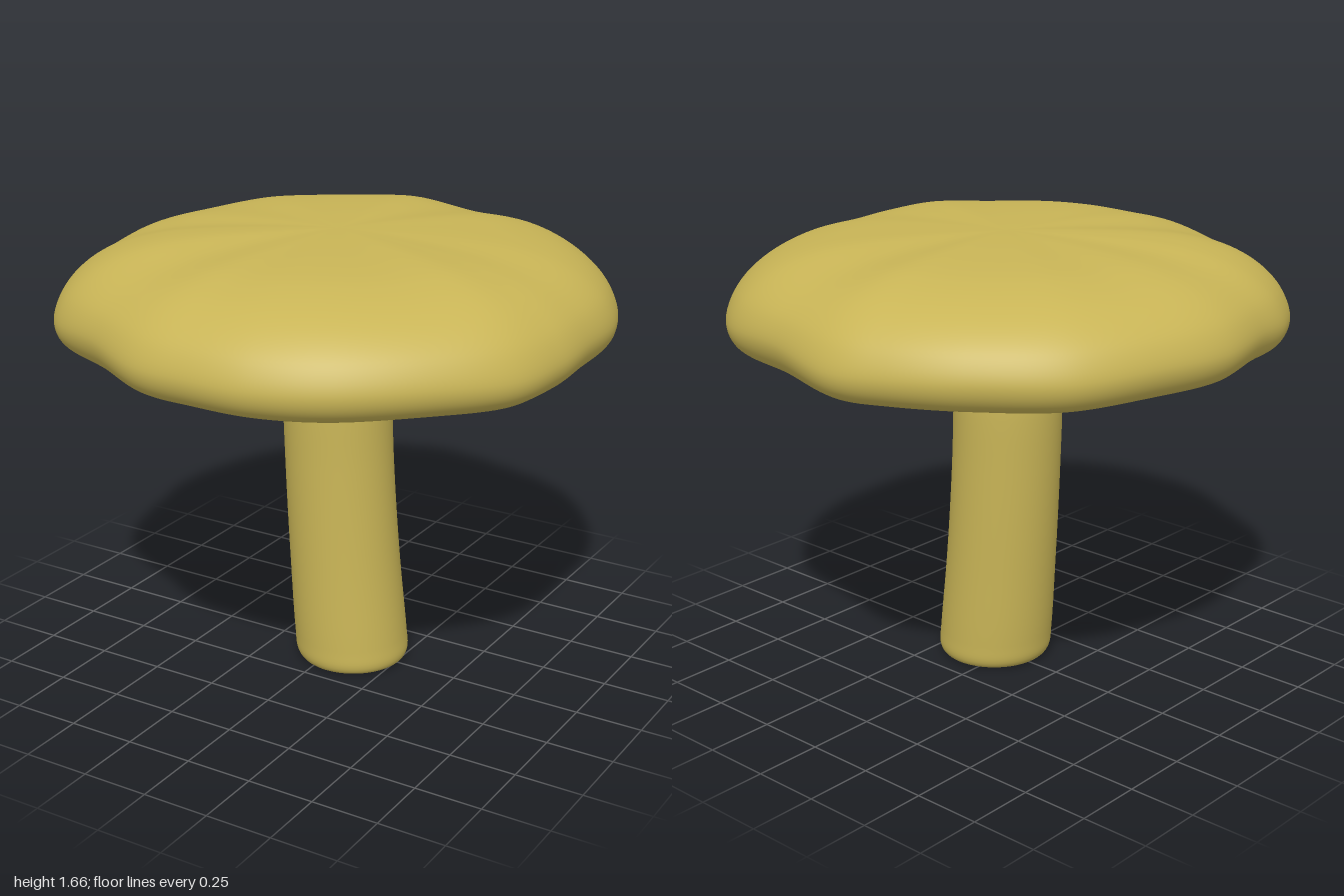
import * as THREE from 'three';

const SEG = 288;   // divisions around the axis
const GILLS = 48;

// Wavy cap outline as [x, z], going round from +x towards +z
const OUTLINE = [
  [0.98, 0], [0.98, 0.2], [0.93, 0.42], [0.75, 0.66], [0.5, 0.87], [0.25, 0.97],
  [0, 0.99], [-0.2, 0.97], [-0.45, 0.85], [-0.74, 0.69], [-0.88, 0.48], [-0.93, 0.27],
  [-0.98, 0], [-0.94, -0.25], [-0.8, -0.59], [-0.55, -0.82], [-0.3, -0.95], [-0.1, -1.0],
  [0.2, -0.94], [0.55, -0.84], [0.8, -0.6], [0.95, -0.3],
];

// Smooth curve through [radius, height] points
function smoothProfile(points, divisions) {
  const curve = new THREE.CatmullRomCurve3(points.map(([r, y]) => new THREE.Vector3(r, y, 0)));
  return curve.getPoints(divisions);
}

// Outline sampled as angle and radius
function sampleOutline() {
  const curve = new THREE.CatmullRomCurve3(
    OUTLINE.map(([x, z]) => new THREE.Vector3(x, 0, z)), true);
  return curve.getSpacedPoints(SEG).slice(0, SEG)
    .map((p) => ({ angle: Math.atan2(p.z, p.x), radius: Math.hypot(p.x, p.z) }));
}

// Closed rings joined from the bottom of the profile to its end
function loft(profile, spokes, place) {
  const positions = [];
  const indices = [];
  profile.forEach((p, j) => spokes.forEach((spoke, i) => {
    positions.push(...place(p, spoke, j / (profile.length - 1)));
    if (j === profile.length - 1) return;
    const next = (i + 1) % SEG;
    const a = j * SEG + i, b = j * SEG + next;
    const c = a + SEG, d = b + SEG;
    indices.push(a, c, b, b, c, d);
  }));
  const geometry = new THREE.BufferGeometry();
  geometry.setAttribute('position', new THREE.Float32BufferAttribute(positions, 3));
  geometry.setIndex(indices);
  geometry.computeVertexNormals();
  return geometry;
}

export function createModel() {
  const group = new THREE.Group();
  const mustard = new THREE.MeshStandardMaterial({ color: 0xc8b456 });
  mustard.name = 'mustard';
  const spokes = sampleOutline();

  // Stem: round, slightly wider at the foot, which curves towards +x
  const stemProfile = smoothProfile([
    [0, 0], [0.16, 0], [0.195, 0.006], [0.21, 0.03], [0.212, 0.1], [0.206, 0.4],
    [0.201, 0.8], [0.2, 1.0], [0.197, 1.08],
  ], 48);
  const stem = loft(stemProfile, spokes, (p, { angle }) => {
    const bend = 0.07 * Math.pow(Math.max(0, 1 - p.y / 1.08), 1.6);
    return [p.x * Math.cos(angle) + bend, p.y, p.x * Math.sin(angle) + 0.01];
  });

  // Cap: flares from the stem, runs out under the gills, rolls over the rim to the crown
  const capProfile = smoothProfile([
    [0.197, 1.08], [0.199, 1.11], [0.215, 1.14], [0.26, 1.162], [0.4, 1.185],
    [0.65, 1.225], [0.88, 1.263], [0.95, 1.282], [0.988, 1.325], [0.998, 1.38],
    [0.965, 1.46], [0.9, 1.525], [0.8, 1.58], [0.65, 1.622], [0.5, 1.641],
    [0.3, 1.652], [0.12, 1.656], [0, 1.656],
  ], 90);
  const cap = loft(capProfile, spokes, (p, { angle, radius }, t) => {
    const s = p.x;
    const under = p.y < 1.28;
    const r = s * THREE.MathUtils.lerp(1, radius, THREE.MathUtils.smoothstep(s, 0.2, 0.7));
    const bulge = radius - 0.99;
    let y = p.y - 0.5 * bulge * Math.pow(s, 6);
    if (!under) y += 2.4 * bulge * s * s * (1 - s);   // shallow furrows on the crown
    if (under) {                                       // fine radial gills
      const fade = THREE.MathUtils.smoothstep(s, 0.22, 0.4)
        * (1 - THREE.MathUtils.smoothstep(s, 0.8, 0.94));
      y += 0.005 * fade * Math.sin(GILLS * angle + 1.5 * Math.sin(5 * angle));
    }
    return [r * Math.cos(angle), y, r * Math.sin(angle) + 0.01 * (1 - t)];
  });

  for (const [name, geometry] of [['stem', stem], ['cap', cap]]) {
    const mesh = new THREE.Mesh(geometry, mustard);
    mesh.name = name;
    group.add(mesh);
  }
  return group;
}
